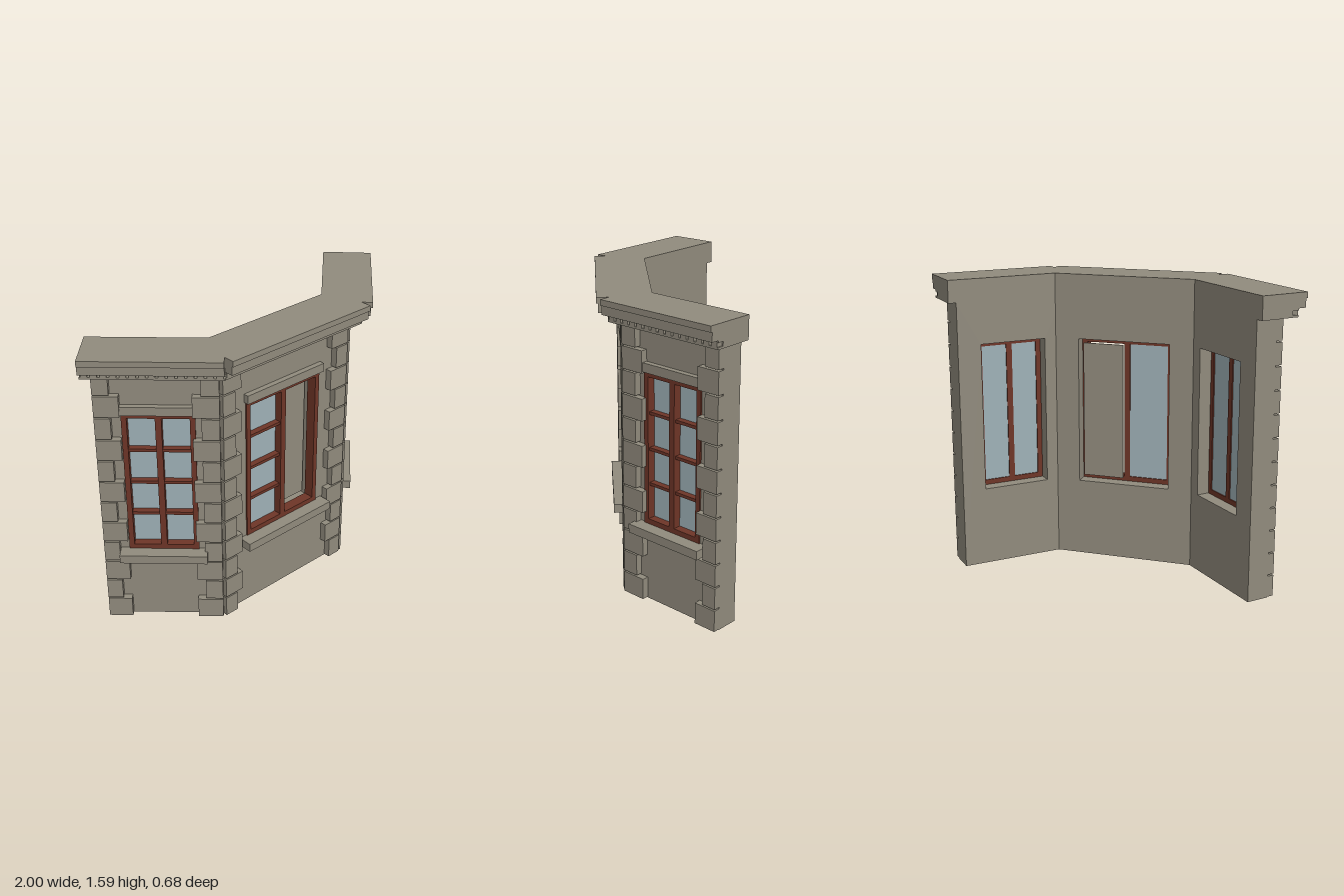
import * as THREE from 'three';

const stone = new THREE.MeshStandardMaterial({ color: 0x918b7d });
stone.name = 'stone';
const wood = new THREE.MeshStandardMaterial({ color: 0x6e3527 });
wood.name = 'wood';
const glass = new THREE.MeshStandardMaterial({ color: 0x9fb1b7 });
glass.name = 'glass';

const ANGLE = 0.7627;        // turn of the side walls
const THICK = 0.12;          // wall thickness
const SILL = 0.43, HEAD = 1.235, WALL_TOP = 1.468;

// Box given by its two limits along each axis
function box(parent, name, material, x0, x1, y0, y1, z0, z1) {
  const mesh = new THREE.Mesh(
    new THREE.BoxGeometry(Math.abs(x1 - x0), y1 - y0, z1 - z0), material);
  mesh.position.set((x0 + x1) / 2, (y0 + y1) / 2, (z0 + z1) / 2);
  mesh.name = name;
  parent.add(mesh);
  return mesh;
}

// Wall slab with a rectangular window opening
function wall(parent, x0, x1, cx, half) {
  const rect = (C, a, b, c, d) => {
    const p = new C();
    p.moveTo(a, c);
    p.lineTo(b, c);
    p.lineTo(b, d);
    p.lineTo(a, d);
    p.closePath();
    return p;
  };
  const shape = rect(THREE.Shape, Math.min(x0, x1), Math.max(x0, x1), 0, WALL_TOP);
  shape.holes.push(rect(THREE.Path, cx - half, cx + half, SILL, HEAD));
  const mesh = new THREE.Mesh(
    new THREE.ExtrudeGeometry(shape, { depth: THICK, bevelEnabled: false }), stone);
  mesh.name = 'wall';
  parent.add(mesh);
}

// Two-leaf window; an open right leaf has a plain panel set further back
function windowUnit(parent, cx, half, open) {
  const g = new THREE.Group();
  g.name = 'window';
  g.position.x = cx;
  parent.add(g);
  const bar = 0.027, back = 0.07, front = 0.128;
  const y0 = SILL + bar, y1 = HEAD - bar;
  for (const s of [-1, 1]) {
    box(g, 'frameJamb', wood, s * half, s * (half - bar), SILL, HEAD, back, front);
  }
  box(g, 'frameHead', wood, -half, half, y1, HEAD, back, front);
  box(g, 'frameFoot', wood, -half, half, SILL, y0, back, front);
  box(g, 'mullion', wood, -0.016, 0.016, y0, y1, back, front);
  for (const s of [-1, 1]) {
    const inner = s * 0.014, outer = s * (half - bar);
    if (open && s > 0) {
      box(g, 'backPanel', stone, 0.012, half - 0.018, y0, y1, 0.032, 0.04);
      continue;
    }
    box(g, 'pane', glass, inner, outer, y0, y1, 0.076, 0.084);
    for (let i = 1; i < 4; i++) {
      const y = y0 + (y1 - y0) * i / 4;
      box(g, 'glazingBar', wood, inner, outer, y - 0.008, y + 0.008, 0.084, 0.118);
    }
  }
}

// Projecting lintel and sill
function trim(parent, cx, half) {
  box(parent, 'lintel', stone, cx - half - 0.01, cx + half + 0.01, HEAD, 1.282, 0.1, 0.15);
  box(parent, 'sill', stone, cx - half - 0.045, cx + half + 0.045, 0.383, SILL, 0.1, 0.198);
}

// Column of alternating corner stones from edge x, growing along dir
function quoins(parent, x, dir, longLen, shortLen, longFirst) {
  const rows = 12, h = WALL_TOP / rows;
  for (let i = 0; i < rows; i++) {
    const len = (i % 2 === 0) === longFirst ? longLen : shortLen;
    box(parent, 'quoin', stone, x, x + dir * len,
      i * h + 0.004, (i + 1) * h - 0.004, 0.1, 0.156);
  }
}

// Stepped cornice with a row of dentils
function cornice(parent, x0, x1, depth, count, fill) {
  box(parent, 'corniceTop', stone, x0, x1, 1.555, 1.585, 0, depth);
  box(parent, 'corniceStep', stone, x0, x1, 1.508, 1.555, 0, depth - 0.009);
  box(parent, 'dentilBacking', stone, x0, x1, 1.465, 1.508, 0, 0.18);
  box(parent, 'dentilBand', stone, x0, x1, 1.498, 1.508, 0.18, 0.214);
  box(parent, 'dentilBase', stone, x0, x1, 1.465, 1.476, 0.18, 0.214);
  const pitch = (x1 - x0) / count;
  for (let i = 0; i < count; i++) {
    const c = x0 + pitch * (i + 0.5), w = pitch * fill / 2;
    box(parent, 'dentil', stone, c - w, c + w, 1.476, 1.498, 0.18, 0.214);
  }
}

export function createModel() {
  const model = new THREE.Group();
  model.name = 'bayWindow';

  // Middle wall
  const middle = new THREE.Group();
  middle.name = 'middleWall';
  middle.position.z = 0.064;
  model.add(middle);
  wall(middle, -0.433, 0.433, 0, 0.255);
  windowUnit(middle, 0, 0.255, true);
  trim(middle, 0, 0.255);
  for (const s of [-1, 1]) quoins(middle, s * 0.432, -s, 0.118, 0.081, false);
  cornice(middle, -0.465, 0.465, 0.271, 12, 0.72);

  // Angled side walls, mirrored
  for (const s of [-1, 1]) {
    const side = new THREE.Group();
    side.name = s > 0 ? 'leftWall' : 'rightWall';
    side.position.set(s * 0.385, 0, 0.064);
    side.rotation.y = s * ANGLE;
    model.add(side);
    wall(side, -s * 0.048, s * 0.556, s * 0.246, 0.182);
    windowUnit(side, s * 0.246, 0.182, false);
    trim(side, s * 0.246, 0.182);
    quoins(side, -s * 0.057, s, 0.133, 0.089, true);
    quoins(side, s * 0.556, -s, 0.126, 0.081, true);
    cornice(side, -s * 0.088, s * 0.598, 0.265, 15, 0.7);
  }
  return model;
}
